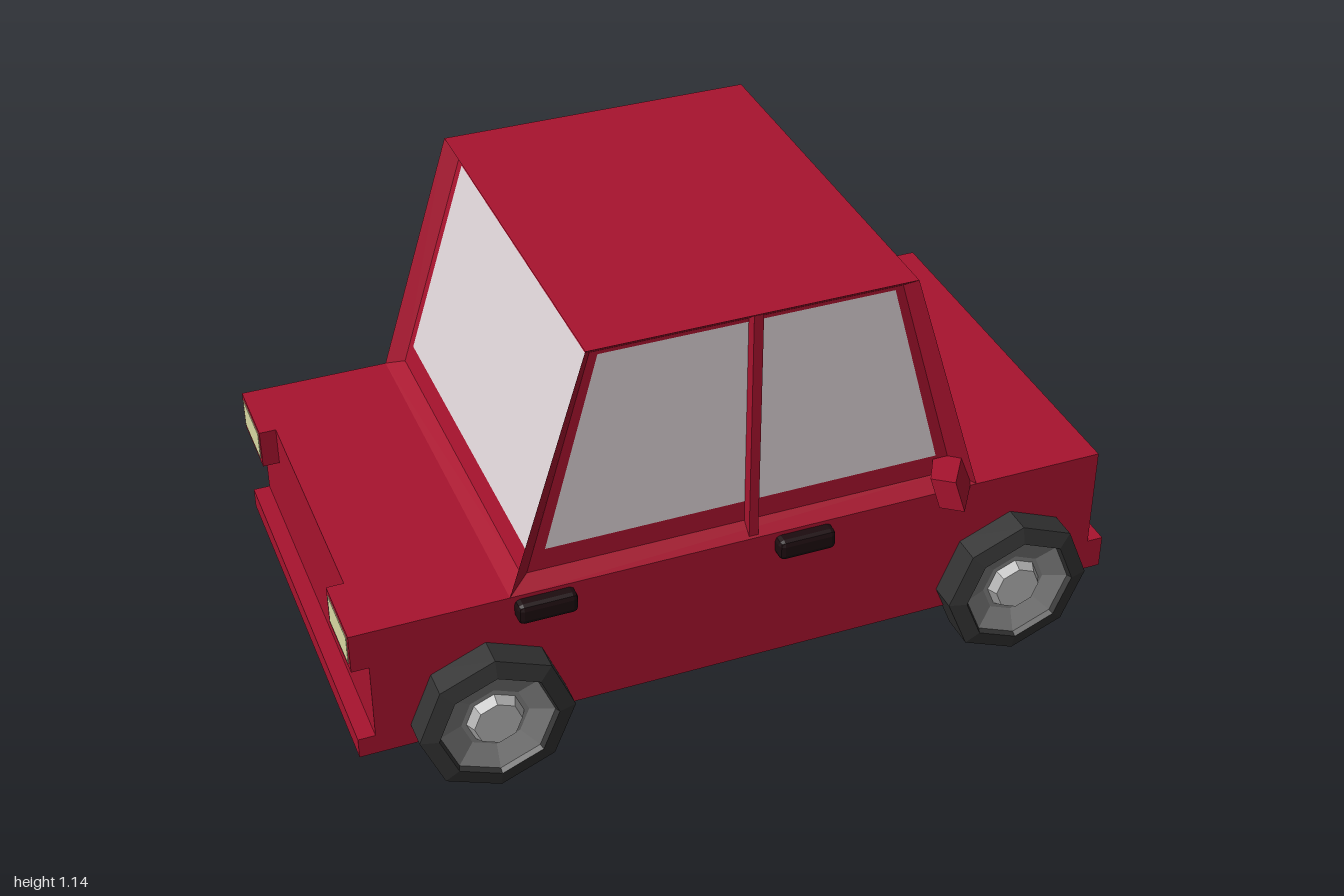
import * as THREE from 'three';
import { RoundedBoxGeometry } from 'three/addons/geometries/RoundedBoxGeometry.js';

const mat = (color) => new THREE.MeshStandardMaterial({ color, flatShading: true });

export function createModel() {
  const car = new THREE.Group();
  car.name = 'car';
  const red = mat(0xa8132e), glass = mat(0xdcd2d5), black = mat(0x1c0c0f);
  const lamp = mat(0xdadaa4), rubber = mat(0x333333), rim = mat(0x808080), cap = mat(0xb4b4b4);

  const add = (name, geometry, material, parent = car) => {
    const mesh = new THREE.Mesh(geometry, material);
    mesh.name = name;
    parent.add(mesh);
    return mesh;
  };
  // box given by its minimum and maximum on each axis
  const box = (name, material, x0, x1, y0, y1, z0, z1) =>
    add(name, new THREE.BoxGeometry(x1 - x0, y1 - y0, z1 - z0), material)
      .position.set((x0 + x1) / 2, (y0 + y1) / 2, (z0 + z1) / 2);
  const polygon = (pts) => new THREE.Shape(pts.map(([x, y]) => new THREE.Vector2(x, y)));
  // quads with corners anticlockwise as seen from outside
  const quads = (list) => {
    const pos = [];
    for (const [a, b, c, d] of list) for (const p of [a, b, c, a, c, d]) pos.push(p.x, p.y, p.z);
    const g = new THREE.BufferGeometry();
    g.setAttribute('position', new THREE.Float32BufferAttribute(pos, 3));
    g.computeVertexNormals();
    return g;
  };

  // lower body with a bumper ledge at each end
  const bodyGeo = new THREE.ExtrudeGeometry(polygon([
    [-1, 0.135], [1, 0.135], [1, 0.225], [0.957, 0.225], [0.957, 0.505],
    [-0.957, 0.505], [-0.957, 0.19], [-1, 0.19],
  ]), { depth: 1.06, bevelEnabled: false });
  add('body', bodyGeo.translate(0, 0, -0.53), red);

  // cabin: four framed windows, each sunk behind a sloping surround
  const V = (x, y, z) => new THREE.Vector3(x, y, z);
  const base = [V(-0.61, 0.505, 0.53), V(0.61, 0.505, 0.53), V(0.61, 0.505, -0.53), V(-0.61, 0.505, -0.53)];
  const top = [V(-0.41, 1.145, 0.53), V(0.41, 1.145, 0.53), V(0.41, 1.145, -0.53), V(-0.41, 1.145, -0.53)];
  const names = ['rightWindow', 'windshield', 'leftWindow', 'rearWindow'];
  names.forEach((name, i) => {
    const j = (i + 1) % 4;
    const outer = [base[i], base[j], top[j], top[i]];
    const normal = outer[1].clone().sub(outer[0]).cross(outer[3].clone().sub(outer[0])).normalize();
    const at = (u, v, depth) => outer[0].clone().lerp(outer[1], u)
      .lerp(outer[3].clone().lerp(outer[2], u), v).addScaledVector(normal, -depth);
    const ring = (u, v0, v1, d) => [at(u, v0, d), at(1 - u, v0, d), at(1 - u, v1, d), at(u, v1, d)];
    const inner = ring(0.037, 0.05, 0.955, 0.036);
    const pane = ring(0.063, 0.14, 0.94, 0.036);
    const frame = [];
    for (let k = 0; k < 4; k++) {
      const n = (k + 1) % 4;
      frame.push([outer[k], outer[n], inner[n], inner[k]], [inner[k], inner[n], pane[n], pane[k]]);
    }
    add(name + 'Frame', quads(frame), red);
    add(name, quads([pane]), glass);
  });
  add('roof', quads([top]), red);

  // grille bars
  for (const y of [0.395, 0.333, 0.27]) box('grilleBar', red, 0.95, 0.98, y - 0.015, y + 0.015, -0.36, 0.36);

  // parts repeated on both sides
  for (const s of [1, -1]) {
    const span = (name, material, x0, x1, y0, y1, z0, z1) =>
      box(name, material, x0, x1, y0, y1, Math.min(s * z0, s * z1), Math.max(s * z0, s * z1));
    span('doorPost', red, -0.002, 0.022, 0.505, 1.14, 0.48, 0.525);
    span('headlight', lamp, 0.95, 0.966, 0.25, 0.39, 0.385, 0.515);
    span('tailLightHousing', red, -1, -0.95, 0.4, 0.505, 0.335, 0.53);
    span('tailLight', lamp, -1.0, -0.98, 0.415, 0.492, 0.35, 0.515);
    car.children[car.children.length - 1].position.x -= 0.002;

    // door handles
    for (const x of [-0.525, 0.14])
      add('doorHandle', new RoundedBoxGeometry(0.15, 0.055, 0.05, 1, 0.014), black)
        .position.set(x, 0.467, s * 0.54);

    // wing mirror, swept back, with its upper edge drawn in
    const m = new THREE.ExtrudeGeometry(polygon(
      [[0.53, -0.5 * s], [0.48, -0.585 * s], [0.53, -0.622 * s], [0.6, -0.52 * s]]),
    { depth: 0.08, bevelEnabled: false });
    m.rotateX(-Math.PI / 2).translate(0, 0.505, 0);
    const p = m.attributes.position;
    for (let i = 0; i < p.count; i++) {
      if (p.getY(i) > 0.55) {
        p.setX(i, p.getX(i) - 0.02);
        p.setZ(i, p.getZ(i) - s * 0.02);
      }
    }
    m.computeVertexNormals();
    add('wingMirror', m, red);

    // wheels: eight-sided tyre, sunken rim and raised hub on both faces
    for (const x of [-0.675, 0.715]) {
      const wheel = new THREE.Group();
      wheel.name = 'wheel';
      const lathe = (pts) => new THREE.LatheGeometry(pts.map(([r, y]) => new THREE.Vector2(r, y)), 8)
        .rotateX(Math.PI / 2);
      add('tyre', lathe([[0.14, -0.035], [0.15, -0.057], [0.195, -0.045], [0.195, 0.045],
        [0.15, 0.057], [0.14, 0.035]]), rubber, wheel);
      add('rim', lathe([[0, -0.02], [0.085, -0.02], [0.148, -0.045], [0.148, 0.045],
        [0.085, 0.02], [0, 0.02]]), rim, wheel);
      add('hub', lathe([[0, -0.045], [0.06, -0.045], [0.075, -0.015], [0.075, 0.015],
        [0.06, 0.045], [0, 0.045]]), cap, wheel);
      wheel.position.set(x, 0.195, s * 0.558);
      car.add(wheel);
    }
  }
  return car;
}
